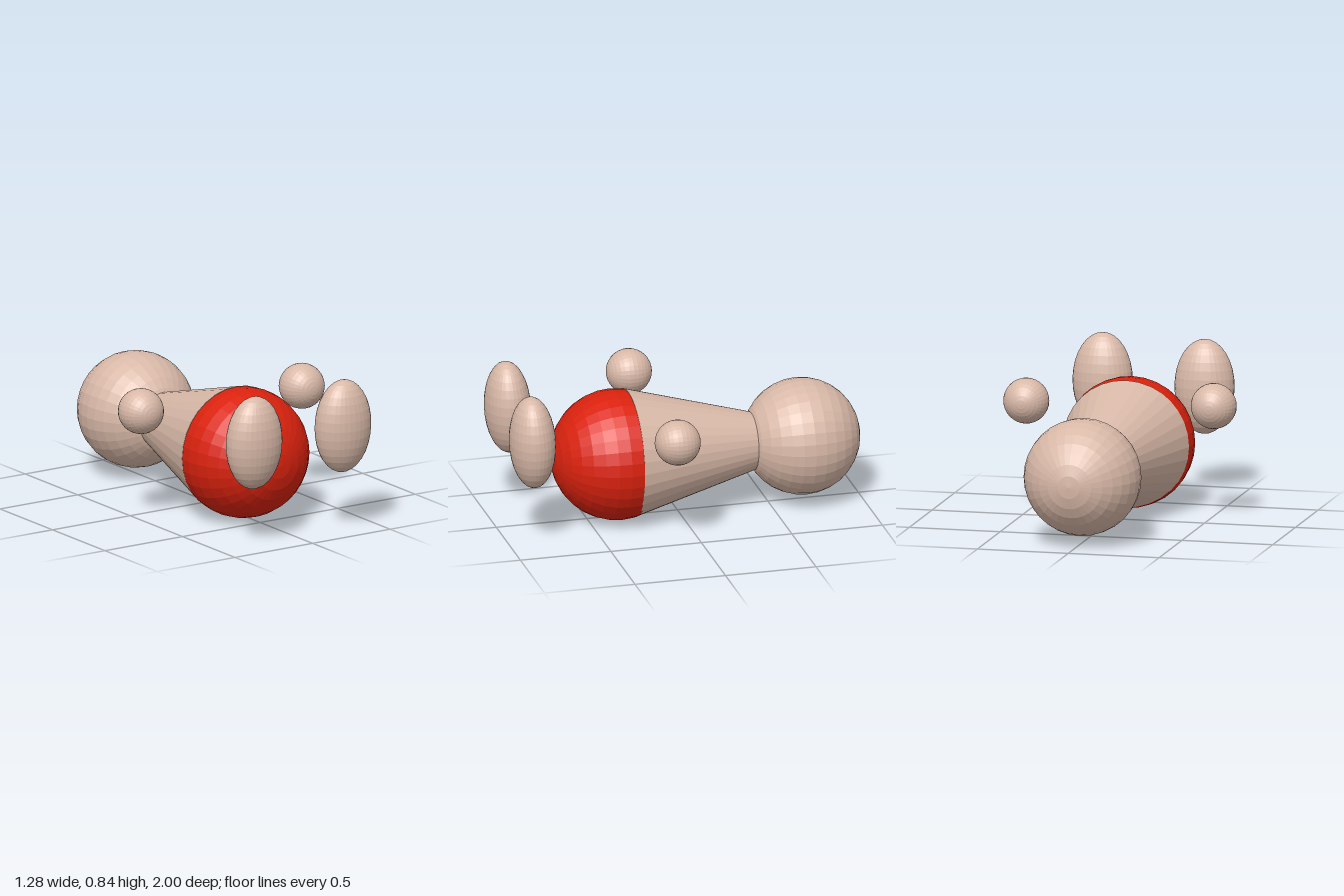
import * as THREE from 'three';

const skin = new THREE.MeshStandardMaterial({ color: 0xd9b9a8 });
const red = new THREE.MeshStandardMaterial({ color: 0xdb220e });
skin.flatShading = red.flatShading = true;

export function createModel() {
  const model = new THREE.Group();
  const add = (name, geometry, material, x, y, z) => {
    const mesh = new THREE.Mesh(geometry, material);
    mesh.name = name;
    mesh.position.set(x, y, z);
    model.add(mesh);
    return mesh;
  };
  // Ball whose poles lie along z
  const ball = (r) => new THREE.SphereGeometry(r, 32, 16).rotateX(Math.PI / 2);

  // Body lying along z: head at the back, tapered torso, red rounded base
  add('head', ball(0.315), skin, 0, 0.358, -0.685);
  const taper = new THREE.CylinderGeometry(0.347, 0.158, 0.68, 32).rotateX(Math.PI / 2);
  add('torso', taper, skin, 0, 0.357, -0.07);
  add('base', ball(0.353), red, 0, 0.355, 0.34);

  // Floating hands, slightly uneven
  add('leftHand', ball(0.123), skin, 0.515, 0.595, 0.135);
  add('rightHand', ball(0.123), skin, -0.518, 0.615, 0.13);

  // Floating feet: upright ellipsoids in front of the base
  const foot = new THREE.SphereGeometry(1, 32, 16).scale(0.163, 0.256, 0.123);
  for (const [name, x, y, z] of [
    ['leftFoot', 0.28, 0.582, 0.875],
    ['rightFoot', -0.284, 0.573, 0.863],
  ]) {
    add(name, foot, skin, x, y, z).rotation.x = 0.03;
  }
  return model;
}
